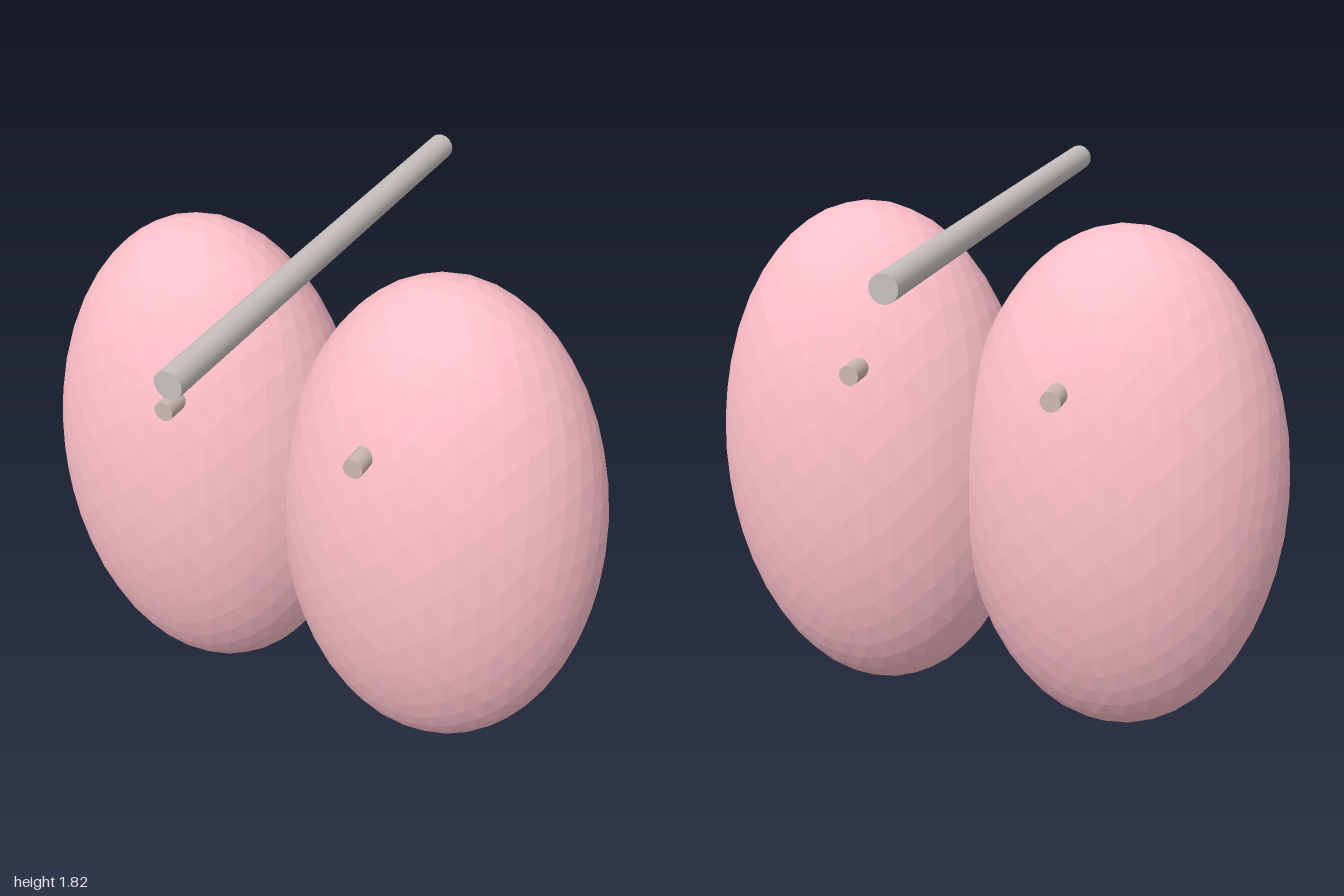
import * as THREE from 'three';

const pink = new THREE.MeshStandardMaterial({ color: 0xffc0cb, flatShading: true });
const rodGrey = new THREE.MeshStandardMaterial({ color: 0xc8c0be });
const pegGrey = new THREE.MeshStandardMaterial({ color: 0xccb8b2 });

// Round bar lying along z
function bar(name, radius, length, x, y, material) {
  const geometry = new THREE.CylinderGeometry(radius, radius, length, 32).rotateX(Math.PI / 2);
  const mesh = new THREE.Mesh(geometry, material);
  mesh.name = name;
  mesh.position.set(x, y, 0);
  return mesh;
}

export function createModel() {
  const model = new THREE.Group();
  model.name = 'twinEllipsoids';

  for (const [side, s] of [['left', 1], ['right', -1]]) {
    // Faceted ellipsoid body; the two halves overlap at the middle
    const geometry = new THREE.IcosahedronGeometry(1, 7).scale(0.556, 0.889, 0.444);
    const body = new THREE.Mesh(geometry, pink);
    body.name = `${side}Body`;
    body.position.set(s * 0.444, 0.889, 0);
    model.add(body);

    // Peg passing through the body, its ends showing front and back
    model.add(bar(`${side}Peg`, 0.033, 0.889, s * 0.333, 1.333, pegGrey));
  }

  // Long rod above the cleft
  model.add(bar('topRod', 0.044, 1.778, 0, 1.778, rodGrey));
  return model;
}
